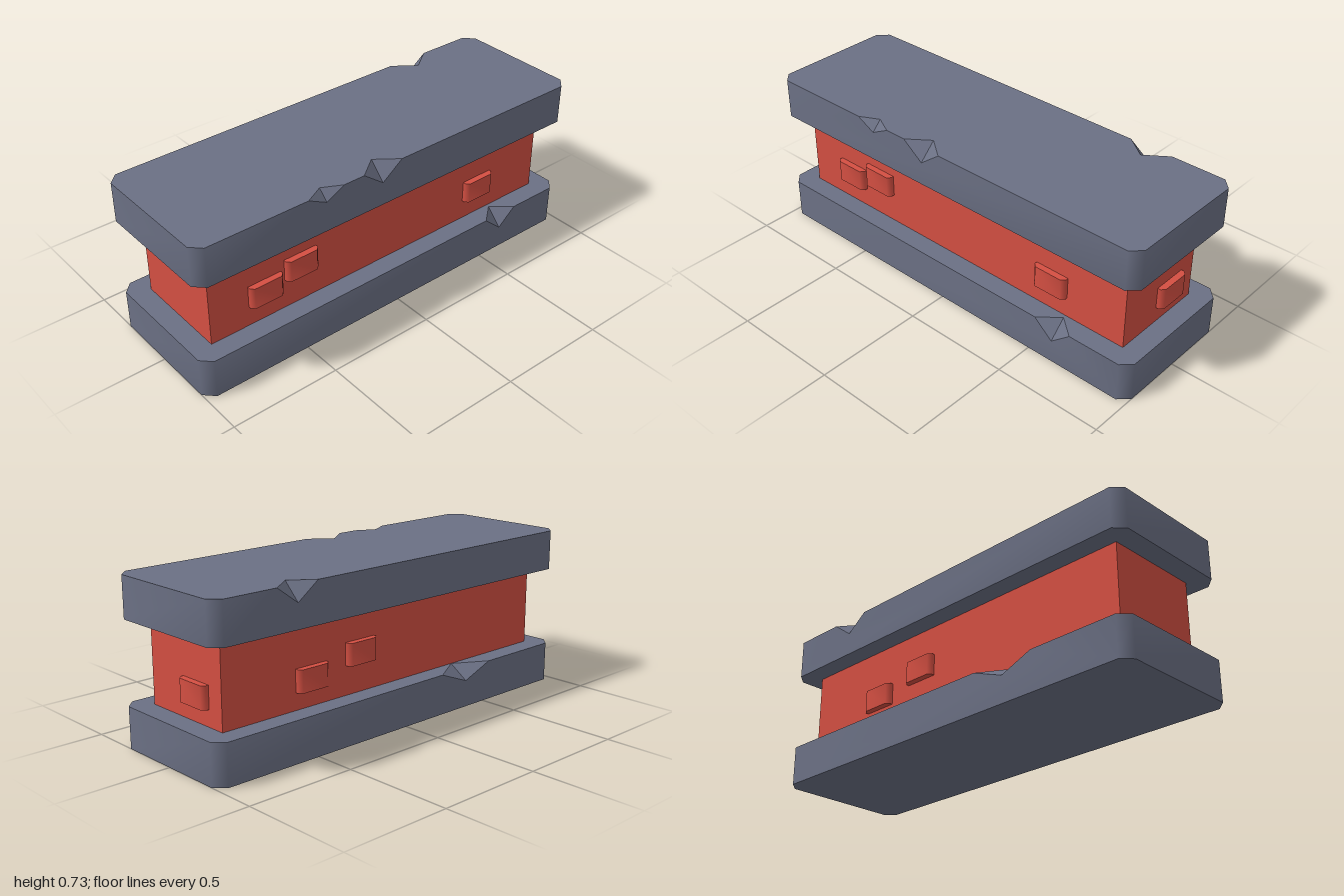
import * as THREE from 'three';
import { mergeGeometries, toCreasedNormals } from 'three/addons/utils/BufferGeometryUtils.js';

const stone = new THREE.MeshStandardMaterial({ color: 0x6b7084 });
stone.name = 'greyStone';
const brickRed = new THREE.MeshStandardMaterial({ color: 0xd44f42 });
brickRed.name = 'brickRed';

const CREASE = THREE.MathUtils.degToRad(50);
const W = 1, D = 0.318, H = 0.182, C = 0.045; // slab half width, half depth, height, corner cut

const polygon = (pts) =>
  new THREE.ShapeGeometry(new THREE.Shape(pts.map(([x, y]) => new THREE.Vector2(x, y)))).toNonIndexed();

// Two facets of a chip broken out of the upper front edge
function chipFacets({ x, w, dy, dz }) {
  const L = [x - w, H, D], R = [x + w, H, D], A = [x, H - dy, D], I = [x, H, D - dz];
  const geo = new THREE.BufferGeometry();
  geo.setAttribute('position', new THREE.Float32BufferAttribute([L, A, I, R, I, A].flat(), 3));
  geo.computeVertexNormals();
  return geo;
}

// Long wall with its upper edge notched by the chips
function longWall(chips) {
  const e = W - C;
  const notches = [...chips].sort((a, b) => b.x - a.x)
    .flatMap(({ x, w, dy }) => [[x + w, H], [x, H - dy], [x - w, H]]);
  return polygon([[-e, 0], [e, 0], [e, H], ...notches, [-e, H]]).translate(0, 0, D);
}

// Slab with cut corners; chips are listed for the front and back upper edges
function makeSlab(name, frontChips, backChips) {
  const turned = backChips.map((c) => ({ ...c, x: -c.x })); // as seen from behind
  const walls = [longWall(frontChips), longWall(turned).rotateY(Math.PI)];
  for (const s of [-1, 1]) {
    walls.push(new THREE.PlaneGeometry(2 * (D - C), H).toNonIndexed()
      .rotateY(s * Math.PI / 2).translate(s * W, H / 2, 0));
    for (const t of [-1, 1]) {
      walls.push(new THREE.PlaneGeometry(C * Math.SQRT2, H).toNonIndexed()
        .rotateY(Math.atan2(s, t)).translate(s * (W - C / 2), H / 2, t * (D - C / 2)));
    }
  }

  // Top outline dips inward at each chip
  const dips = (chips) => [...chips].sort((a, b) => a.x - b.x)
    .flatMap(({ x, w, dz }) => [[x - w, -D], [x, dz - D], [x + w, -D]]);
  const outline = (front, back) => [
    [-W, C - D], [C - W, -D], ...dips(front), [W - C, -D], [W, C - D],
    [W, D - C], [W - C, D], ...dips(back).map(([x, y]) => [-x, -y]), [C - W, D], [-W, D - C],
  ];
  const top = polygon(outline(frontChips, turned)).rotateX(-Math.PI / 2).translate(0, H, 0);
  const bottom = polygon(outline([], [])).rotateX(Math.PI / 2);

  const parts = [
    toCreasedNormals(mergeGeometries(walls), CREASE), top, bottom,
    ...frontChips.map(chipFacets),
    ...turned.map((c) => chipFacets(c).rotateY(Math.PI)),
  ];
  parts.forEach((g) => g.deleteAttribute('uv'));
  const mesh = new THREE.Mesh(mergeGeometries(parts), stone);
  mesh.name = name;
  return mesh;
}

// Raised brick with softened upright edges, facing +z, half sunk in the wall
function makeBrick() {
  const w = 0.081, d = 0.029, c = 0.015, h = 0.099;
  const pts = [[-w, c - d], [c - w, -d], [w - c, -d], [w, c - d], [w, d - c], [w - c, d], [c - w, d], [-w, d - c]];
  const shape = new THREE.Shape(pts.map(([x, y]) => new THREE.Vector2(x, y)));
  const geo = new THREE.ExtrudeGeometry(shape, { depth: h, bevelEnabled: false });
  return toCreasedNormals(geo.rotateX(-Math.PI / 2).translate(0, -h / 2, 0), CREASE);
}

export function createModel() {
  const group = new THREE.Group();
  group.name = 'brickPlinth';

  const base = makeSlab('baseSlab',
    [{ x: 0.62, w: 0.09, dy: 0.077, dz: 0.075 }],
    [{ x: -0.38, w: 0.155, dy: 0.06, dz: 0.09 }]);
  const cap = makeSlab('capSlab',
    [{ x: -0.39, w: 0.088, dy: 0.045, dz: 0.045 }, { x: -0.1, w: 0.1, dy: 0.075, dz: 0.075 }],
    [{ x: 0.6, w: 0.103, dy: 0.075, dz: 0.075 }]);
  cap.position.y = 0.546;

  const core = new THREE.Mesh(new THREE.BoxGeometry(1.814, 0.364, 0.454), brickRed);
  core.name = 'wallCore';
  core.position.y = 0.364;
  group.add(base, core, cap);

  // Bricks standing proud of the wall: x, y, z, turn
  const brickGeo = makeBrick();
  const bricks = [
    [-0.64, 0.325, 0.227, 0],
    [-0.46, 0.371, 0.227, 0],
    [0.54, 0.325, 0.227, 0],
    [0.46, 0.306, -0.227, Math.PI],
    [0.19, 0.361, -0.227, Math.PI],
    [0.907, 0.304, -0.066, Math.PI / 2],
  ];
  for (const [x, y, z, turn] of bricks) {
    const brick = new THREE.Mesh(brickGeo, brickRed);
    brick.name = 'raisedBrick';
    brick.position.set(x, y, z);
    brick.rotation.y = turn;
    group.add(brick);
  }
  return group;
}
